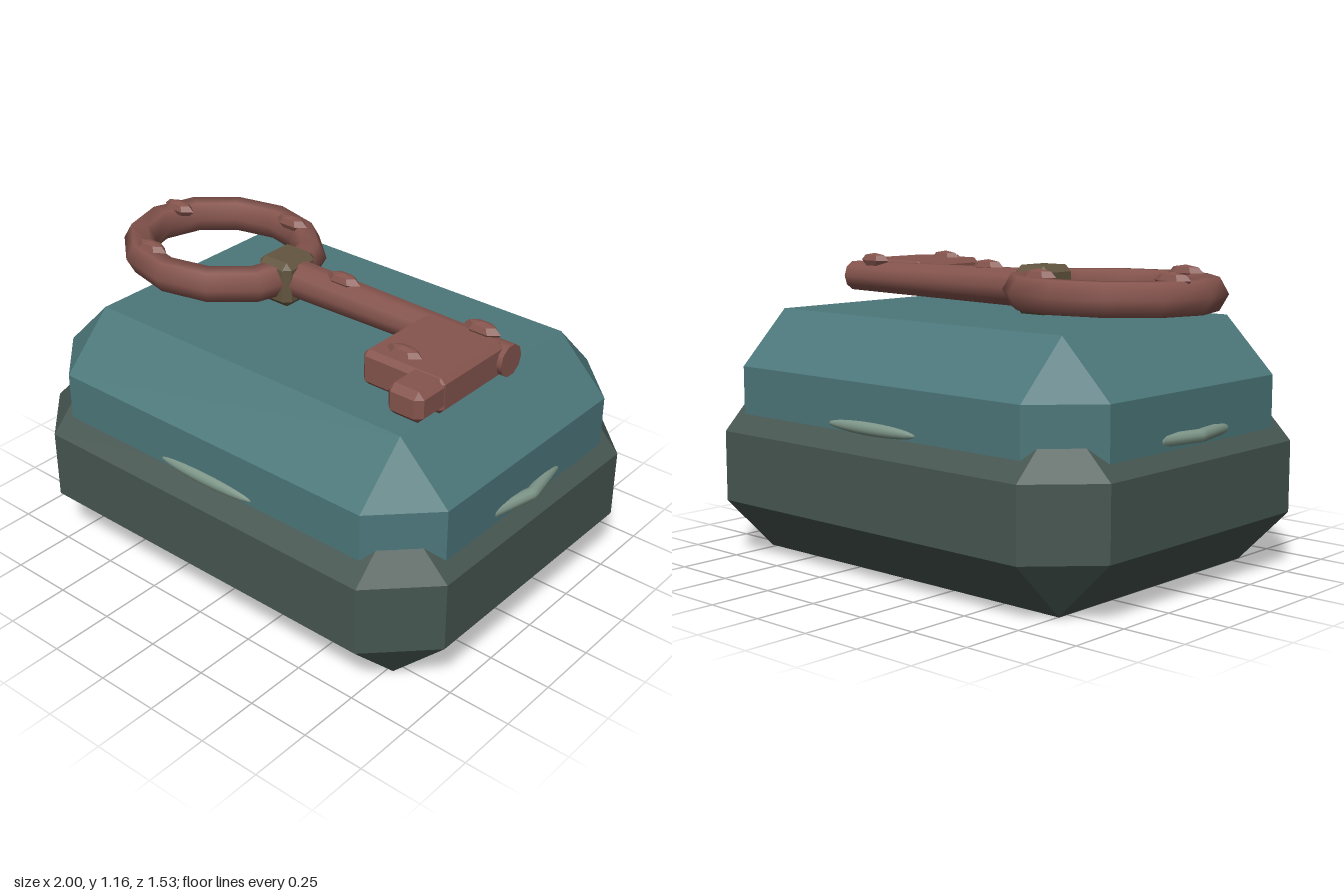
import * as THREE from 'three';
import { ConvexGeometry } from 'three/addons/geometries/ConvexGeometry.js';

const material = (name, color) => {
  const m = new THREE.MeshStandardMaterial({ color });
  m.name = name;
  return m;
};

// Box with cut edges: inset rectangles above and below an octagonal wall.
function chamferedBox([x0, x1], [y0, y1], [z0, z1], c, cutBottom = true) {
  const cx = (x0 + x1) / 2, cz = (z0 + z1) / 2;
  const hx = (x1 - x0) / 2, hz = (z1 - z0) / 2;
  const points = [];
  const add = (dx, y, dz) => points.push(new THREE.Vector3(cx + dx, y, cz + dz));
  for (const sx of [-1, 1]) for (const sz of [-1, 1]) {
    const ix = sx * (hx - c), iz = sz * (hz - c);
    add(ix, y1, iz);
    if (cutBottom) add(ix, y0, iz);
    for (const y of [cutBottom ? y0 + c : y0, y1 - c]) {
      add(sx * hx, y, iz);
      add(ix, y, sz * hz);
    }
  }
  return new ConvexGeometry(points);
}

export function createModel() {
  const model = new THREE.Group();
  model.name = 'boxWithKey';
  const baseMat = material('dark grey green', 0x465651);
  const lidMat = material('teal', 0x4c777a);
  const keyMat = material('rust red', 0x85544d);
  const collarMat = material('dull bronze', 0x635640);
  const trimMat = material('pale sage', 0x7d9588);

  const add = (name, geometry, mat, parent = model) => {
    const mesh = new THREE.Mesh(geometry, mat);
    mesh.name = name;
    parent.add(mesh);
    return mesh;
  };

  // Box body and the lid sunk into it
  add('base', chamferedBox([-0.975, 0.995], [0, 0.72], [-0.767, 0.763], 0.222), baseMat);
  add('lid', chamferedBox([-0.925, 0.945], [0.5, 0.963], [-0.702, 0.697], 0.212, false), lidMat);

  // Seam trims: slim lozenges front and back, bent bars on the sides
  for (const s of [-1, 1]) {
    const lozenge = add(s > 0 ? 'frontTrim' : 'backTrim', new THREE.SphereGeometry(1, 20, 12), trimMat);
    lozenge.scale.set(0.23, 0.025, 0.022);
    lozenge.position.set(0.01, 0.585, -0.003 + s * 0.698);

    const side = new THREE.Group();
    side.name = s > 0 ? 'leftTrim' : 'rightTrim';
    side.position.set(0.01, 0.585, 0);
    for (const e of [-1, 1]) {
      const bar = add('trimBar', new THREE.CapsuleGeometry(0.025, 0.185, 4, 10), trimMat, side);
      bar.position.set(s * 0.935, 0, e * 0.095);
      bar.quaternion.setFromUnitVectors(
        new THREE.Vector3(0, 1, 0), new THREE.Vector3(-s * 0.04, 0, e * 0.185).normalize());
    }
    model.add(side);
  }

  // Key lying above the lid
  const key = new THREE.Group();
  key.name = 'key';
  model.add(key);

  const ring = add('ringHandle', new THREE.TorusGeometry(0.362, 0.07, 6, 12).rotateX(Math.PI / 2), keyMat, key);
  ring.scale.set(1, 1, 0.88);
  ring.position.set(-0.568, 1.075, -0.03);

  const shaft = add('shaft', new THREE.CylinderGeometry(0.062, 0.077, 1.02, 10).rotateZ(-Math.PI / 2), keyMat, key);
  shaft.position.set(0.31, 1.066, -0.027);

  add('collar', chamferedBox([-0.305, -0.145], [0.973, 1.157], [-0.112, 0.067], 0.025), collarMat, key);
  add('bit', chamferedBox([0.45, 0.8], [1.0, 1.138], [-0.02, 0.352], 0.02), keyMat, key);
  add('tooth', chamferedBox([0.65, 0.8], [1.014, 1.135], [0.31, 0.472], 0.025), keyMat, key);

  // Faceted bumps on the upper side of the key
  const bumps = [[-0.88, -0.095], [-0.43, -0.283], [-0.69, 0.247], [0.06, -0.022], [0.68, -0.045], [0.58, 0.272]];
  for (const [x, z] of bumps) {
    const geometry = new THREE.SphereGeometry(1, 6, 4).toNonIndexed();
    geometry.computeVertexNormals();
    const bump = add('bump', geometry, keyMat, key);
    bump.scale.set(0.08, 0.03, 0.036);
    bump.position.set(x, 1.135, z);
  }
  return model;
}
